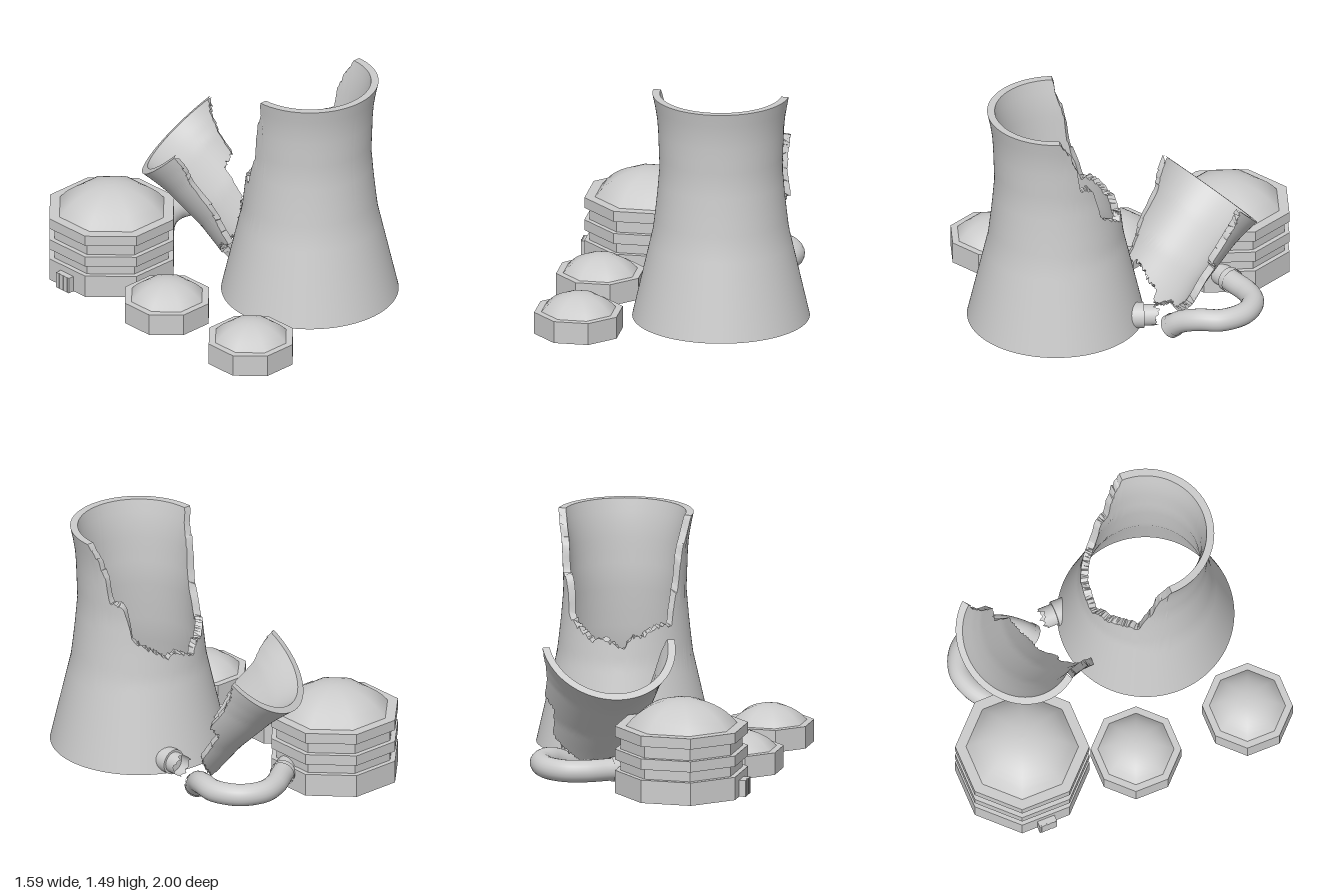
import * as THREE from 'three';
import { toCreasedNormals } from 'three/addons/utils/BufferGeometryUtils.js';

const grey = new THREE.MeshStandardMaterial({ color: 0xcccccc });
const greyOpen = new THREE.MeshStandardMaterial({ color: 0xcccccc, side: THREE.DoubleSide });

const TOP = 1.485, BASE = 0.085, WALL = 0.045;
// Tower outline as [y, radius], and the break line as [degrees from the back, y]
const OUTLINE = [[BASE, 0.53], [0.635, 0.405], [0.84, 0.382], [1.02, 0.367], [1.3, 0.377], [1.39, 0.39], [TOP, 0.41]];
const BREAK = [[-90, TOP], [-86, 1.38], [-78, 1.25], [-74, 1.08], [-66, 0.95], [-61, 0.83], [-54, 0.86], [-40, 0.84],
  [-30, 0.8], [-20, 0.8], [-14, 0.72], [-4, 0.76], [6, 0.79], [16, 0.77], [26, 0.81], [34, 0.84], [48, 0.9],
  [52, 1.02], [56, 1.11], [70, 1.13], [74, 1.27], [80, 1.38], [90, TOP]];

function lookup(table, t) {
  if (t <= table[0][0]) return table[0][1];
  for (let i = 1; i < table.length; i++) {
    const [t0, v0] = table[i - 1], [t1, v1] = table[i];
    if (t <= t1) return v0 + (v1 - v0) * (t - t0) / (t1 - t0);
  }
  return table[table.length - 1][1];
}

// Repeatable roughness in -0.5..0.5
function rough(n) {
  const s = Math.sin(n * 12.9898 + 4.1) * 43758.5453;
  return s - Math.floor(s) - 0.5;
}

// Height of the jagged break at an angle, rougher away from the rim
function breakHeight(deg, inner) {
  if (Math.abs(deg) >= 89.5) return TOP;
  const seed = Math.round(deg * 2) + (inner ? 777 : 0);
  return Math.min(TOP, lookup(BREAK, deg + rough(seed) * 1.5) + rough(seed + 99) * 0.025);
}

// Thick wall swept through angles; every column is a closed loop up the outside and down the inside
function wallGeometry(from, to, columns, bottom, top) {
  const rows = 18, loop = rows * 2 + 2, pos = [], index = [];
  for (let i = 0; i <= columns; i++) {
    const deg = from + (to - from) * i / columns, a = deg * Math.PI / 180;
    for (let j = 0; j < loop; j++) {
      const inner = j > rows;
      const t = inner ? (loop - 1 - j) / rows : j / rows;
      const lo = bottom(deg, inner), hi = Math.max(lo, top(deg, inner));
      const y = lo + (hi - lo) * t;
      const r = lookup(OUTLINE, y) - (inner ? WALL : 0);
      pos.push(r * Math.sin(a), y, -r * Math.cos(a));
    }
  }
  for (let i = 0; i < columns; i++) {
    for (let j = 0; j < loop; j++) {
      const a = i * loop + j, b = i * loop + (j + 1) % loop;
      index.push(a, b, a + loop, b, b + loop, a + loop);
    }
  }
  const g = new THREE.BufferGeometry();
  g.setAttribute('position', new THREE.Float32BufferAttribute(pos, 3));
  g.setIndex(index);
  return toCreasedNormals(g, 0.6);
}

function add(parent, name, geometry, x = 0, y = 0, z = 0, material = grey) {
  const m = new THREE.Mesh(geometry, material);
  m.name = name;
  m.position.set(x, y, z);
  parent.add(m);
  return m;
}

// Octagonal lathe; profile holds [distance to flat side, y]
function octagon(profile) {
  const k = 1 / Math.cos(Math.PI / 8);
  return new THREE.LatheGeometry(profile.map(([r, y]) => new THREE.Vector2(r * k, y)), 8, Math.PI / 8);
}

// Octagonal walls with a shallow smooth dome on the flat roof
function domedBuilding(name, x, z, walls, domeHalf, domeHeight) {
  const g = new THREE.Group();
  g.name = name;
  g.position.set(x, 0, z);
  const roof = walls[walls.length - 1][1];
  add(g, 'walls', toCreasedNormals(octagon([...walls, [domeHalf, roof]]), 0.3), 0, 0, 0, greyOpen);
  const R = (domeHalf ** 2 + domeHeight ** 2) / (2 * domeHeight);
  const dome = [];
  for (let i = 0; i <= 10; i++) {
    const r = domeHalf * (1 - i / 10);
    dome.push([r, roof + domeHeight - R + Math.sqrt(R * R - r * r)]);
  }
  add(g, 'dome', octagon(dome), 0, 0, 0, greyOpen);
  return g;
}

// Short open pipe along -z with a broken far end
function brokenStub(radius, length) {
  const g = new THREE.CylinderGeometry(radius, radius, length, 24, 3, true);
  const p = g.attributes.position;
  for (let i = 0; i <= 24; i++) p.setY(i, p.getY(i) + rough(i % 24 + 5) * 0.045);
  return g.rotateX(-Math.PI / 2);
}

export function createModel() {
  const model = new THREE.Group();
  model.name = 'ruinedCoolingTower';

  // Standing tower, open at both ends, with its back broken away
  add(model, 'tower', wallGeometry(-180, 180, 240, () => BASE, breakHeight), 0.26, 0, 0.425);

  // The piece that broke out, leaning back on the ground
  const piece = wallGeometry(-89, 89, 178, (deg, inner) => Math.min(TOP, breakHeight(deg, inner) + 0.01), () => TOP);
  piece.translate(0, -TOP, 0);
  const across = new THREE.Vector3(0.86, 0, -0.51).normalize();
  const axis = across.clone().cross(new THREE.Vector3(-0.37, -0.7, -0.62)).normalize();
  const facing = across.clone().cross(axis);
  piece.applyMatrix4(new THREE.Matrix4().makeBasis(across, axis, facing));
  add(model, 'fallenTowerPiece', piece, 0.135, 0.885, -0.45);

  // Tiered reactor building with a small door block
  const wide = 0.37, slim = 0.34;
  const tiers = [[wide, 0.045], [wide, 0.185], [slim, 0.185], [slim, 0.25], [wide, 0.25], [wide, 0.315],
    [slim, 0.315], [slim, 0.39], [wide, 0.39], [wide, 0.455]];
  const reactor = domedBuilding('reactorBuilding', -0.365, -0.63, tiers, 0.31, 0.16);
  add(reactor, 'doorBlock', new THREE.BoxGeometry(0.045, 0.1, 0.11), -0.387, 0.095, 0);
  for (const z of [-0.035, 0, 0.035]) {
    add(reactor, 'doorRib', new THREE.BoxGeometry(0.01, 0.1, 0.018), -0.407, 0.097, z);
  }
  model.add(reactor);

  // Two small domed tanks
  for (const z of [0.03, 0.75]) {
    model.add(domedBuilding('smallTank', -0.545, z, [[0.25, 0.045], [0.25, 0.18]], 0.21, 0.105));
  }

  // Pipe curving out of the reactor and drooping to the ground
  const path = new THREE.CatmullRomCurve3([
    [-0.04, 0.155, -0.57], [0.08, 0.155, -0.65], [0.2, 0.155, -0.725], [0.32, 0.155, -0.75], [0.45, 0.155, -0.69],
    [0.522, 0.155, -0.55], [0.5, 0.15, -0.42], [0.44, 0.105, -0.31], [0.395, 0.045, -0.245],
  ].map((p) => new THREE.Vector3(...p)));
  add(model, 'bentPipe', new THREE.TubeGeometry(path, 64, 0.067, 20), 0, 0, 0, greyOpen);

  // Collars at both ends of the pipe
  const up = new THREE.Vector3(0, 1, 0);
  for (const [t, r] of [[0.1, 0.075], [0.975, 0.073]]) {
    const p = path.getPointAt(t);
    const collar = add(model, 'pipeCollar', new THREE.CylinderGeometry(r, r, 0.04, 20, 1, true), p.x, p.y, p.z, greyOpen);
    collar.quaternion.setFromUnitVectors(up, path.getTangentAt(t));
  }

  // Torn pipe connection on the back of the tower
  const socket = new THREE.CylinderGeometry(0.078, 0.078, 0.1, 24).rotateX(Math.PI / 2);
  add(model, 'pipeSocket', socket, 0.44, 0.16, -0.04);
  add(model, 'tornPipeStub', brokenStub(0.064, 0.1), 0.44, 0.16, -0.115, greyOpen);

  return model;
}
